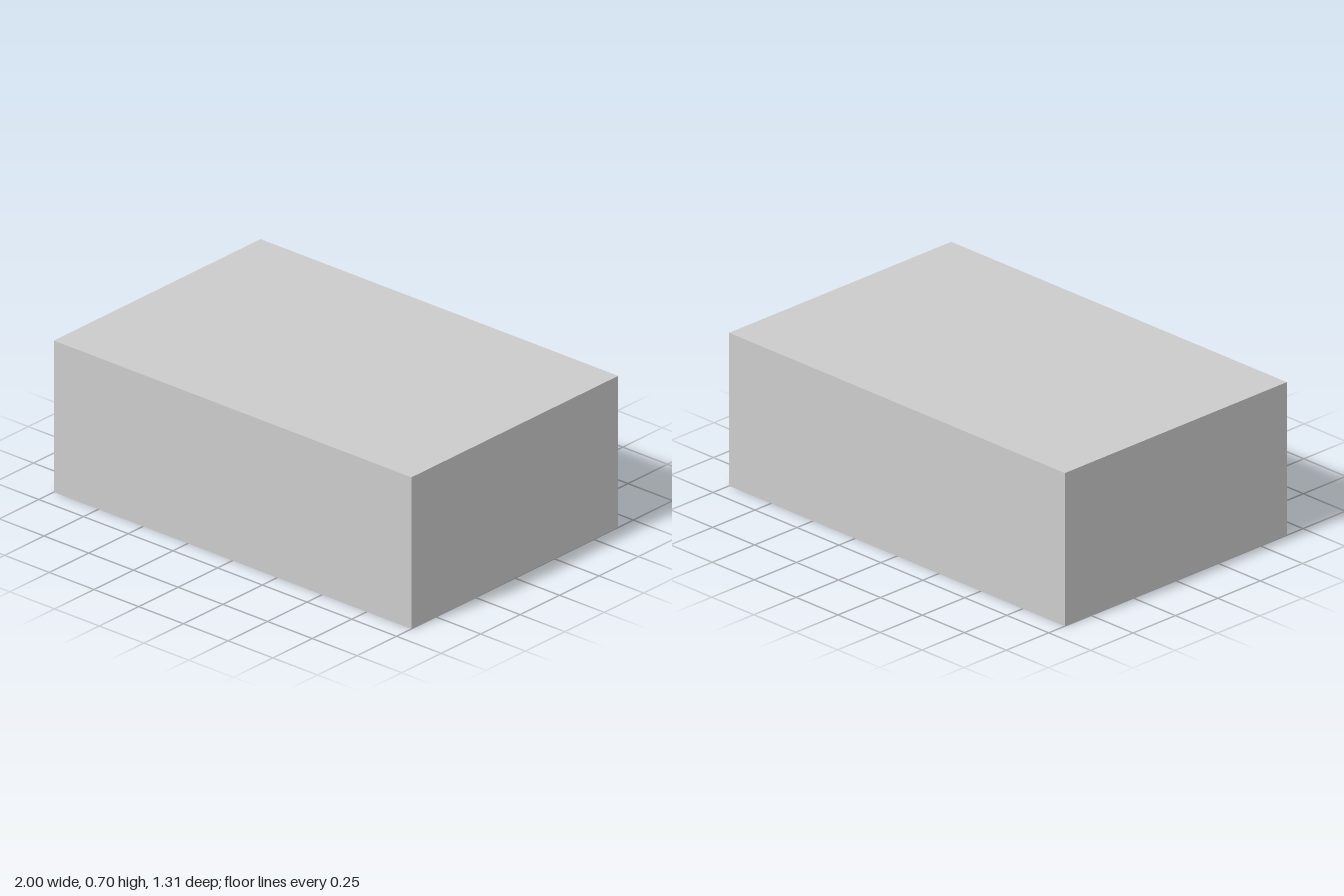
import * as THREE from 'three';

const W = 2, H = 0.705, D = 1.31;          // overall size
const WALL = 0.013, DIVIDER = 0.04, CAP = 0.015;
const COLS = 4, ROWS = 5;

// Counter-wound rectangle used as an opening in the grid
function rectPath(x, y, w, h) {
  const p = new THREE.Path();
  p.moveTo(x, y);
  p.lineTo(x, y + h);
  p.lineTo(x + w, y + h);
  p.lineTo(x + w, y);
  p.closePath();
  return p;
}

export function createModel() {
  const group = new THREE.Group();
  group.name = 'compartmentBox';
  const material = new THREE.MeshStandardMaterial({ color: 0xcccccc });

  // Outer walls and dividers: one plan shape with a hole per compartment
  const plan = new THREE.Shape();
  plan.moveTo(-W / 2, -D / 2);
  plan.lineTo(W / 2, -D / 2);
  plan.lineTo(W / 2, D / 2);
  plan.lineTo(-W / 2, D / 2);
  plan.closePath();

  const cellW = (W - 2 * WALL - (COLS - 1) * DIVIDER) / COLS;
  const cellD = (D - 2 * WALL - (ROWS - 1) * DIVIDER) / ROWS;
  for (let c = 0; c < COLS; c++) {
    for (let r = 0; r < ROWS; r++) {
      const x = -W / 2 + WALL + c * (cellW + DIVIDER);
      const y = -D / 2 + WALL + r * (cellD + DIVIDER);
      plan.holes.push(rectPath(x, y, cellW, cellD));
    }
  }

  const gridGeometry = new THREE.ExtrudeGeometry(plan, { depth: H - CAP, bevelEnabled: false });
  gridGeometry.rotateX(Math.PI / 2).translate(0, H - CAP, 0);
  const grid = new THREE.Mesh(gridGeometry, material);
  grid.name = 'wallsAndDividers';
  group.add(grid);

  // Closed panel over the compartments, which open downwards
  const panel = new THREE.Mesh(new THREE.BoxGeometry(W, CAP, D), material);
  panel.position.y = H - CAP / 2;
  panel.name = 'topPanel';
  group.add(panel);

  return group;
}
